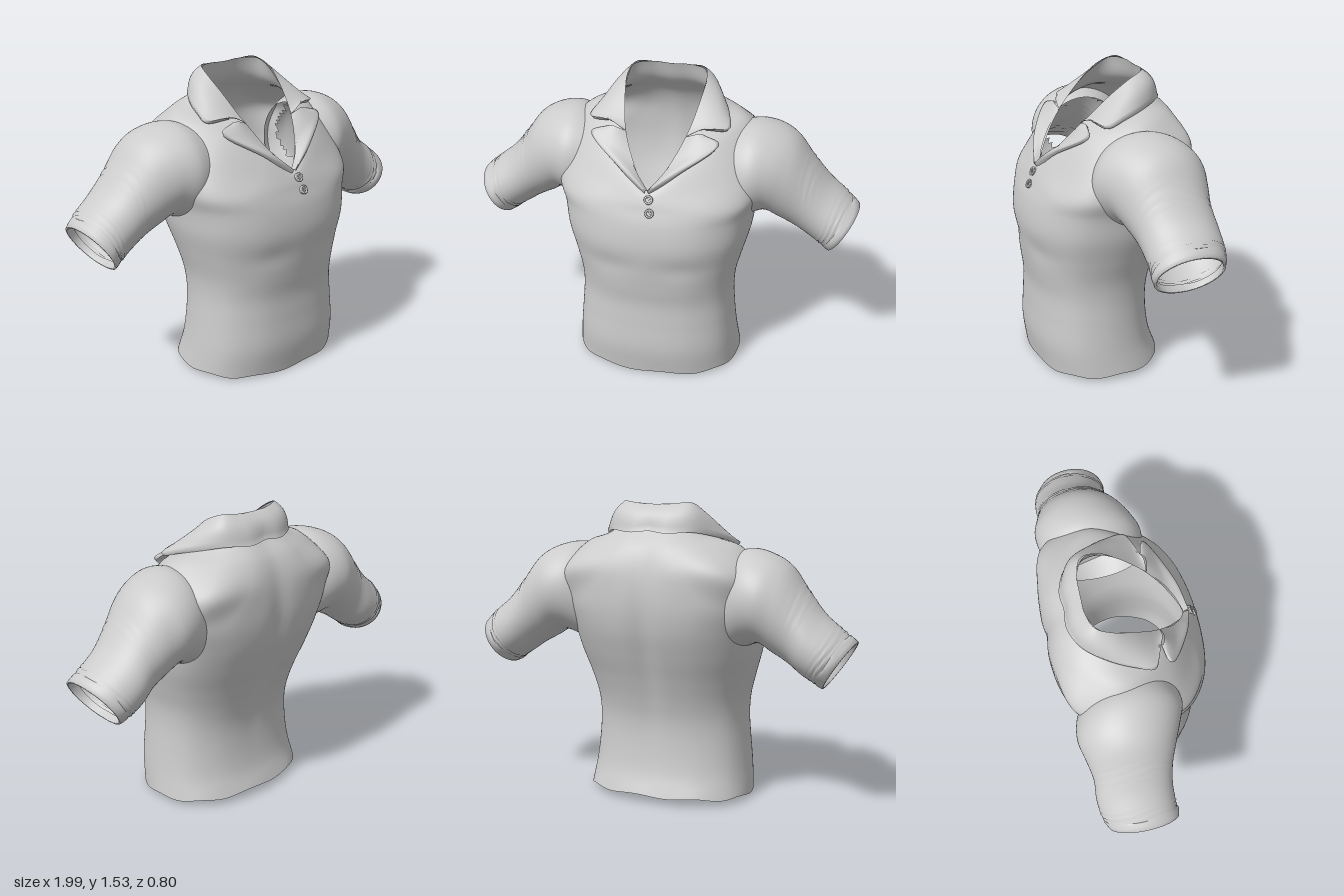
import * as THREE from 'three';

const V = (x, y, z) => new THREE.Vector3(x, y, z);
const material = new THREE.MeshStandardMaterial({ color: 0xcccccc, side: THREE.DoubleSide, roughness: 0.9 });

function mesh(geometry, name) {
  const m = new THREE.Mesh(geometry, material);
  m.name = name;
  return m;
}

// Skin a grid of points; skip() leaves openings
function loft(rings, closed, name, skip = () => false) {
  const n = rings[0].length, index = [];
  for (let i = 0; i < rings.length - 1; i++) {
    for (let j = 0; j < (closed ? n : n - 1); j++) {
      const k = (j + 1) % n;
      if (skip(rings[i][j])) continue;
      const a = i * n + j, b = i * n + k, c = a + n, d = b + n;
      index.push(a, b, d, a, d, c);
    }
  }
  const g = new THREE.BufferGeometry().setFromPoints(rings.flat());
  g.setIndex(index);
  g.computeVertexNormals();
  return mesh(g, name);
}

// Sample a smooth curve through points at even parameters
function sample(points, count, closed = false) {
  const curve = new THREE.CatmullRomCurve3(points, closed);
  return Array.from({ length: count }, (_, i) => curve.getPoint(i / (closed ? count : count - 1)));
}

// Smooth the control rings lengthwise
function lengthwise(rings, count) {
  const columns = rings[0].map((_, j) => sample(rings.map(r => r[j]), count));
  return Array.from({ length: count }, (_, i) => columns.map(c => c[i]));
}

// Rounded horizontal torso section as 12 points, starting at the front
function section(hw, zf, zb, yf, yb, power) {
  const pow = v => Math.sign(v) * Math.abs(v) ** power;
  return Array.from({ length: 12 }, (_, k) => {
    const a = k / 12 * Math.PI * 2, c = Math.cos(a), s = Math.sin(a);
    return V(hw * pow(Math.abs(s) < 1e-6 ? 0 : s), yf + (yb - yf) * (1 - c) / 2,
      (zf + zb) / 2 + (zf - zb) / 2 * pow(Math.abs(c) < 1e-6 ? 0 : c));
  });
}

// Half outline from front centre to back centre, mirrored into a loop
function mirrorLoop(half) {
  const pts = half.map(p => V(...p));
  const other = pts.slice(1, -1).reverse().map(p => V(-p.x, p.y, p.z));
  return [...pts, ...other];
}

function buildTorso() {
  const control = [
    section(0.435, 0.35, -0.285, 0.006, 0.04, 0.85),
    section(0.42, 0.37, -0.245, 0.15, 0.15, 0.85),
    section(0.405, 0.365, -0.225, 0.3, 0.3, 0.85),
    section(0.398, 0.362, -0.228, 0.42, 0.42, 0.85),
    section(0.405, 0.375, -0.25, 0.52, 0.52, 0.85),
    section(0.435, 0.39, -0.29, 0.64, 0.64, 0.85),
    section(0.47, 0.402, -0.34, 0.77, 0.77, 0.82),
    section(0.49, 0.385, -0.385, 0.89, 0.91, 0.78),
    section(0.52, 0.358, -0.402, 0.965, 1.05, 0.75),
    // chest, shoulder, neck base and collar stand
    mirrorLoop([[0, 1.0, 0.345], [0.2, 1.06, 0.295], [0.42, 1.12, 0.16], [0.53, 1.15, -0.1],
      [0.42, 1.19, -0.33], [0.2, 1.2, -0.385], [0, 1.2, -0.385]]),
    mirrorLoop([[0, 1.035, 0.325], [0.15, 1.14, 0.255], [0.3, 1.25, 0.13], [0.41, 1.31, -0.08],
      [0.3, 1.315, -0.27], [0.15, 1.315, -0.335], [0, 1.31, -0.34]]),
    mirrorLoop([[0, 1.045, 0.31], [0.115, 1.165, 0.23], [0.21, 1.3, 0.1], [0.26, 1.36, -0.06],
      [0.21, 1.4, -0.18], [0.11, 1.42, -0.235], [0, 1.42, -0.24]]),
    mirrorLoop([[0, 1.05, 0.295], [0.1, 1.18, 0.215], [0.165, 1.32, 0.1], [0.195, 1.45, -0.04],
      [0.185, 1.515, -0.15], [0.1, 1.52, -0.2], [0, 1.515, -0.205]]),
  ];
  const rings = lengthwise(control.map(r => sample(r, 120, true)), 90);
  rings.forEach((ring, i) => ring.forEach((p, j) => {
    const a = j / ring.length * Math.PI * 2;
    // wavy hem
    if (i < 4) p.y = Math.max(0, p.y + 0.005 * Math.sin(a * 9) * (1 - i / 4));
    // spine groove and soft chest hollow
    const level = Math.exp(-(((p.y - 0.85) / 0.35) ** 2));
    if (p.z < 0) p.z += 0.022 * level * Math.exp(-((p.x / 0.06) ** 2));
    else p.z -= 0.008 * Math.exp(-(((p.y - 0.65) / 0.06) ** 2)) * Math.exp(-(((Math.abs(p.x) - 0.18) / 0.12) ** 2));
  }));
  // open armholes under the sleeves
  const armhole = p => Math.abs(p.x) > 0.42 && ((p.y - 1.07) / 0.2) ** 2 + ((p.z + 0.09) / 0.2) ** 2 < 0.8;
  return loft(rings, true, 'torso', armhole);
}

function buildSleeve() {
  const group = new THREE.Group();
  // top x, y, bottom x, y, front z, back z
  const spans = [
    [0.34, 1.27, 0.38, 0.78, 0.17, -0.29],
    [0.46, 1.305, 0.47, 0.83, 0.185, -0.335],
    [0.57, 1.285, 0.53, 0.845, 0.155, -0.345],
    [0.66, 1.235, 0.6, 0.805, 0.12, -0.325],
    [0.75, 1.12, 0.68, 0.76, 0.085, -0.305],
    [0.84, 1.01, 0.745, 0.715, 0.07, -0.31],
    [0.93, 0.935, 0.8, 0.68, 0.07, -0.3],
    [0.995, 0.875, 0.85, 0.65, 0.07, -0.27],
  ];
  const control = spans.map(([tx, ty, bx, by, zf, zb]) => Array.from({ length: 64 }, (_, j) => {
    const a = j / 64 * Math.PI * 2, c = Math.cos(a) / 2, s = Math.sin(a) / 2;
    return V((tx + bx) / 2 + (tx - bx) * c, (ty + by) / 2 + (ty - by) * c, (zf + zb) / 2 + (zf - zb) * s);
  }));
  const rings = lengthwise(control, 60);
  // small creases on the upper arm and above the cuff
  rings.forEach((ring, i) => ring.forEach((p, j) => {
    const v = i / 59, a = j / 64 * Math.PI * 2;
    const amount = 0.005 * Math.exp(-(((v - 0.58) / 0.05) ** 2)) * Math.max(0, Math.cos(a))
      + 0.005 * Math.exp(-(((v - 0.88) / 0.06) ** 2));
    p.y += amount * Math.sin(v * 150 + 3 * Math.sin(a * 2)) * Math.cos(a);
    p.z += amount * Math.sin(v * 150 + 3 * Math.sin(a * 2)) * Math.sin(a);
  }));
  group.add(loft(rings, true, 'sleeve'));
  // turned cuff band, rolled over to the inside
  const band = [[54, 1], [55, 1.035], [57, 1.035], [59, 1.03], [59, 0.95], [54, 0.94]].map(([i, k]) => {
    const mid = rings[i].reduce((m, p) => m.add(p), V(0, 0, 0)).divideScalar(64);
    return rings[i].map(p => p.clone().sub(mid).multiplyScalar(k).add(mid));
  });
  group.add(loft(band, true, 'cuff'));
  return group;
}

// Folded cloth between an inner fold line and an outer edge
function buildFlap(fold, edge, count, name) {
  const inner = sample(fold.map(p => V(...p)), count), outer = sample(edge.map(p => V(...p)), count);
  const rings = [outer.map(p => p.clone().add(V(-p.x * 0.03, -0.014, -0.008)))];
  for (let i = 0; i <= 10; i++) {
    const v = i / 10;
    rings.push(outer.map((p, j) => {
      const q = p.clone().lerp(inner[j], v);
      const out = V(q.x, 0, q.z + 0.05).normalize().add(V(0, 0.8, 0));
      return q.addScaledVector(out, 0.016 * Math.sin(Math.PI * v));
    }));
  }
  return loft(rings, false, name);
}

function buildCollarHalf() {
  const group = new THREE.Group();
  group.add(buildFlap(
    [[0, 1.05, 0.3], [0.06, 1.12, 0.265], [0.11, 1.19, 0.215], [0.15, 1.28, 0.14]],
    [[0.01, 1.045, 0.32], [0.15, 1.15, 0.278], [0.32, 1.27, 0.16], [0.235, 1.3, 0.135]], 30, 'lapel'));
  group.add(buildFlap(
    [[0.15, 1.28, 0.14], [0.165, 1.32, 0.1], [0.19, 1.42, 0], [0.2, 1.49, -0.09], [0.175, 1.525, -0.17],
      [0.1, 1.52, -0.2], [0, 1.515, -0.205]],
    [[0.24, 1.325, 0.115], [0.35, 1.315, 0.075], [0.335, 1.345, -0.02], [0.29, 1.375, -0.13], [0.21, 1.4, -0.235],
      [0.1, 1.395, -0.285], [0, 1.405, -0.28]], 48, 'collar'));
  return group;
}

function buildButton(x, y, z) {
  const group = new THREE.Group();
  const disc = mesh(new THREE.CylinderGeometry(0.02, 0.022, 0.012, 24), 'buttonDisc');
  disc.rotation.x = Math.PI / 2;
  const rim = mesh(new THREE.TorusGeometry(0.018, 0.005, 8, 24), 'buttonRim');
  rim.position.z = 0.006;
  group.add(disc, rim);
  // crossed thread
  for (const turn of [0.8, -0.8]) {
    const thread = mesh(new THREE.BoxGeometry(0.02, 0.004, 0.004), 'buttonThread');
    thread.position.z = 0.007;
    thread.rotation.z = turn;
    group.add(thread);
  }
  group.position.set(x, y, z);
  group.rotation.x = -0.42;
  group.name = 'button';
  return group;
}

export function createModel() {
  const shirt = new THREE.Group();
  shirt.name = 'shirt';
  shirt.add(buildTorso());
  for (const side of [1, -1]) {
    const sleeve = buildSleeve(), collar = buildCollarHalf();
    sleeve.name = side > 0 ? 'leftSleeve' : 'rightSleeve';
    collar.name = side > 0 ? 'leftCollar' : 'rightCollar';
    sleeve.scale.x = collar.scale.x = side;
    shirt.add(sleeve, collar);
  }
  shirt.add(buildButton(0.015, 1.02, 0.338), buildButton(0.025, 0.96, 0.363));
  return shirt;
}
